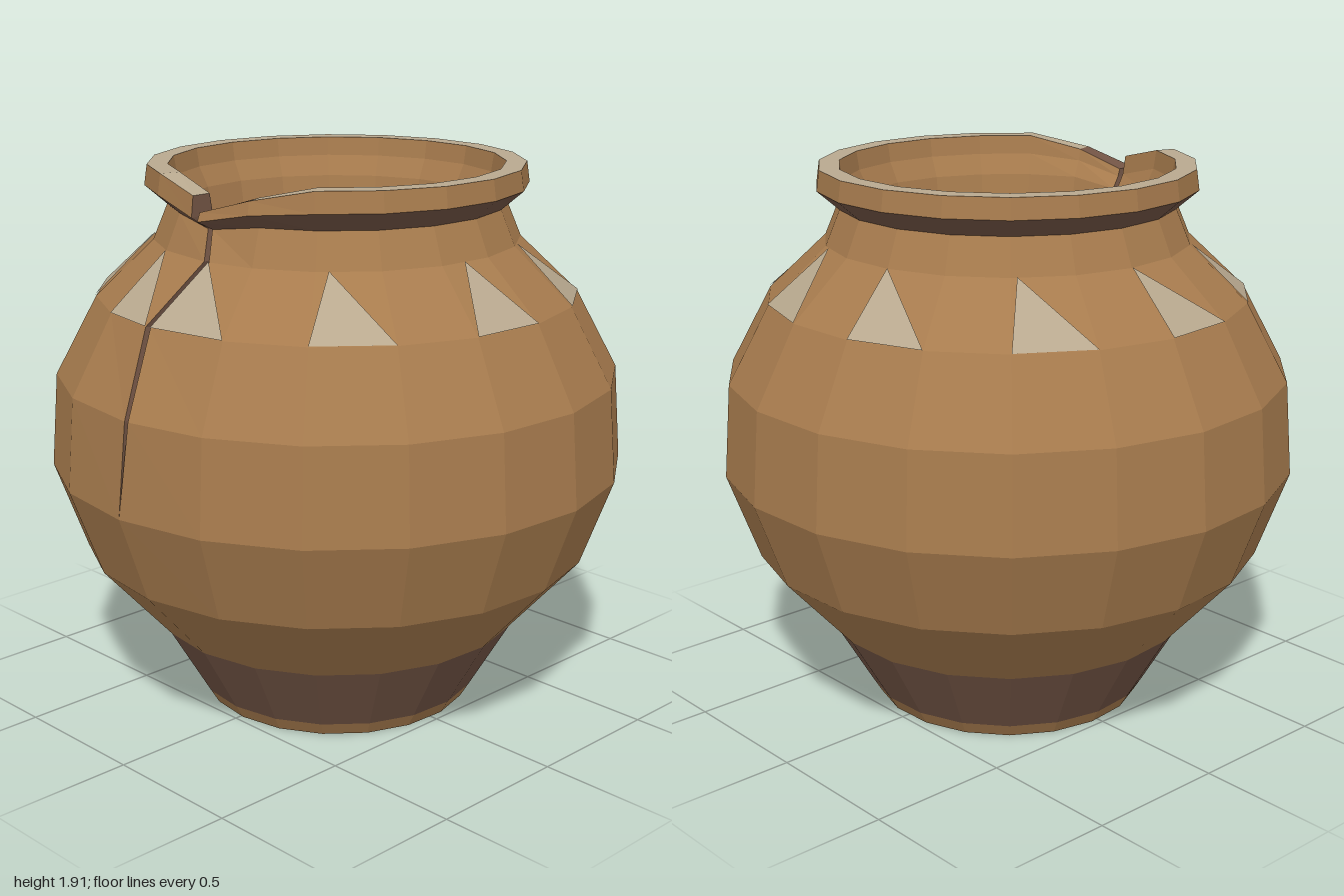
import * as THREE from 'three';

const SIDES = 19;
const START = 0.026; // angle of the first column, measured from +z toward +x

const mat = (name, color) => {
  const m = new THREE.MeshStandardMaterial({ color });
  m.name = name;
  m.flatShading = true;
  return m;
};

// Outer wall levels: radius, height, crack centre x, crack half width
const OUTER = [
  [0.475, 0, 0.01, 0], [0.505, 0.05, 0.01, 0], [0.65, 0.30, 0.015, 0],
  [0.89, 0.57, 0.02, 0], [1.0, 0.875, 0.025, 0], [0.975, 1.20, 0.047, 0.008],
  [0.83, 1.47, -0.01, 0.012], [0.63, 1.66, 0.045, 0.011], [0.58, 1.78, 0.01, 0.01],
  [0.655, 1.845, 0.02, 0.013], [0.645, 1.915, 0.02, 0.015],
];
// Inner wall, from level 10 down to level 2
const INNER = [
  [0.575, 1.915], [0.565, 1.85], [0.53, 1.78], [0.51, 1.66], [0.74, 1.45],
  [0.89, 1.20], [0.92, 0.875], [0.81, 0.57], [0.57, 0.32],
];
// Closed section: base centre, outer wall, inner wall, floor
const SECTION = [
  { r: 0, y: 0, level: 0 },
  ...OUTER.map(([r, y], level) => ({ r, y, level })),
  ...INNER.map(([r, y], i) => ({ r, y, level: 10 - i })),
  { r: 0.42, y: 0.1, level: 1 },
  { r: 0, y: 0.1, level: 0 },
];
// Broken rim: how far each column beside the crack sags at levels 8, 9, 10
const SAG = { 0: [0.025, 0.055, 0.095], 1: [0, 0.015, 0.04], [SIDES]: [0.025, 0.045, 0.045] };

function point(k, j) {
  const { r, y, level } = SECTION[k];
  let a = START + (j / SIDES) * Math.PI * 2;
  if (j === 0 || j === SIDES) {
    const [R, , c, w] = OUTER[level];
    a = (c + (j === 0 ? w : -w)) / R;
  }
  const drop = SAG[j]?.[level - 8] ?? 0;
  return new THREE.Vector3(r * Math.sin(a), y - drop, r * Math.cos(a));
}

function facesMesh(name, triangles, material) {
  const g = new THREE.BufferGeometry().setFromPoints(triangles.flat());
  g.computeVertexNormals();
  const m = new THREE.Mesh(g, material);
  m.name = name;
  return m;
}

// Faces between section points from..to over a range of columns
function band(from, to, first = 0, last = SIDES) {
  const tris = [];
  for (let k = from; k < to; k++) {
    for (let j = first; j < last; j++) {
      const a = point(k, j), b = point(k, j + 1);
      const c = point(k + 1, j + 1), d = point(k + 1, j);
      if (SECTION[k].r > 0) tris.push([a, b, d]);
      if (SECTION[k + 1].r > 0) tris.push([b, c, d]);
    }
  }
  return tris;
}

export function createModel() {
  const group = new THREE.Group();
  group.name = 'crackedPot';
  const clay = mat('tan clay', 0xa87c4e);
  const brown = mat('dark brown clay', 0x735545);
  const cream = mat('cream paint', 0xb9a98f);
  cream.side = THREE.DoubleSide;

  // Walls, from underside to inner floor
  group.add(
    facesMesh('underside', band(0, 1), brown),
    facesMesh('foot', band(1, 2), clay),
    facesMesh('baseBand', band(2, 3), brown),
    facesMesh('body', band(3, 9), clay),
    facesMesh('rimUnderside', band(9, 10), brown),
    facesMesh('rimFace', band(10, 11), clay),
    facesMesh('chippedLip', band(11, 12, 0, 1), brown),
    facesMesh('lip', band(11, 12, 1), cream),
    facesMesh('innerNeck', band(12, 15), clay),
    facesMesh('interior', band(15, 22), brown),
  );

  // Broken walls on both sides of the crack
  const crack = [];
  for (let level = 4; level < 10; level++) {
    for (const j of [0, SIDES]) {
      const q = [point(level + 1, j), point(level + 2, j), point(21 - level, j), point(22 - level, j)];
      if (j) q.reverse();
      crack.push([q[0], q[1], q[2]], [q[0], q[2], q[3]]);
    }
  }
  group.add(facesMesh('crackWalls', crack, brown));

  // Painted triangles on every second shoulder facet; each tip sits at its own place
  const tips = [0, 0.2, 0.47, 0.2, 0.2, 0, 0.1, 0, 0.05, 0];
  const painted = tips.map((t, i) => {
    const j = i * 2;
    const tri = [point(7, j), point(7, j + 1), point(8, j).lerp(point(8, j + 1), t)];
    const n = new THREE.Triangle(...tri).getNormal(new THREE.Vector3());
    return tri.map((p) => p.addScaledVector(n, 0.004));
  });
  group.add(facesMesh('shoulderTriangles', painted, cream));

  return group;
}
